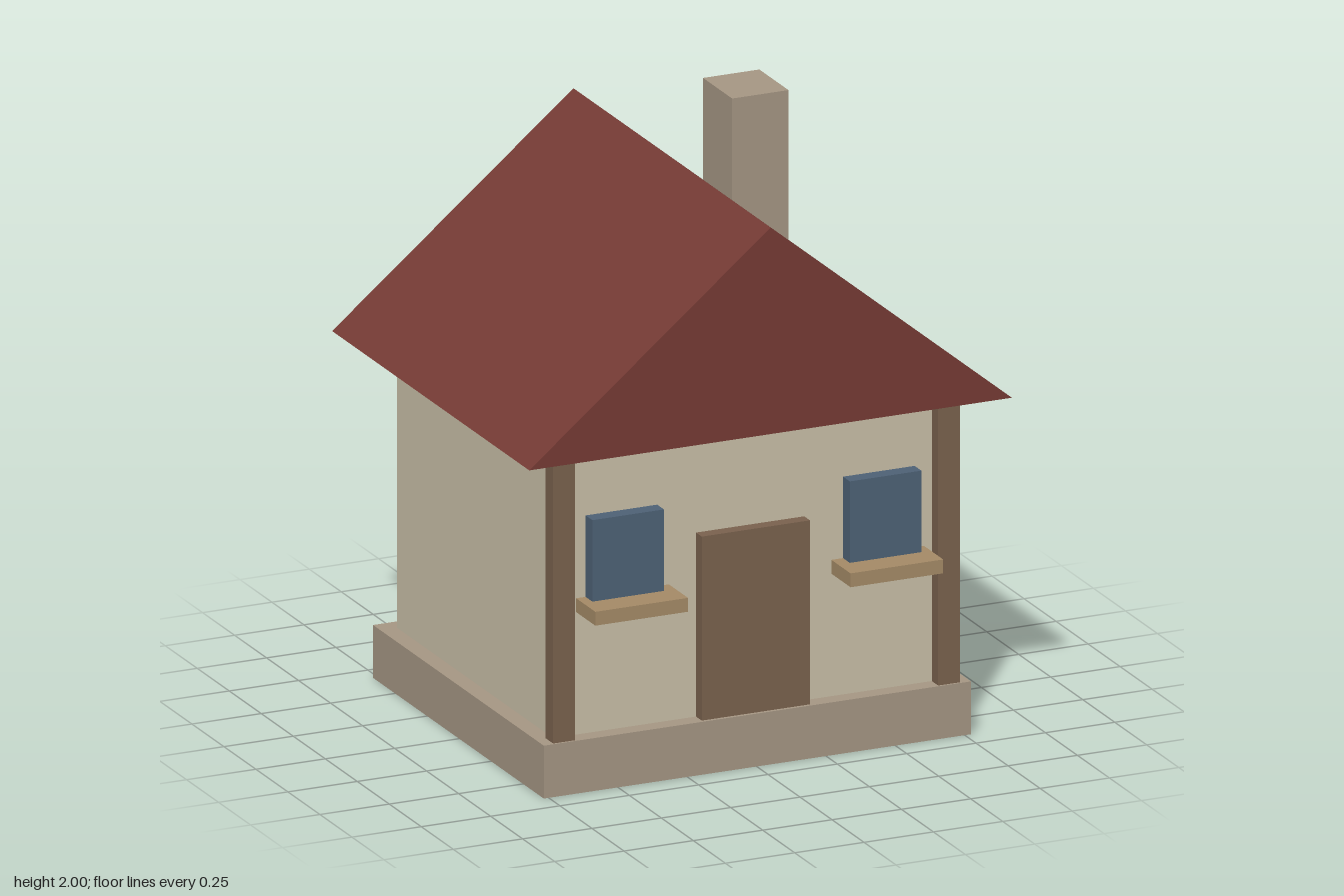
import * as THREE from 'three';

export function createModel() {
  const house = new THREE.Group();
  house.name = 'house';

  const paint = (name, color) => {
    const m = new THREE.MeshStandardMaterial({ color });
    m.name = name;
    return m;
  };
  const plaster = paint('plaster', 0xc9c0a8);
  const stone = paint('stone', 0xa69784);
  const wood = paint('darkWood', 0x7a624e);
  const sillWood = paint('lightWood', 0xa58b67);
  const glass = paint('glass', 0x4e6276);
  const tiles = paint('roofTiles', 0x763b35);

  // Box given by its limits on each axis
  const box = (name, material, [x0, x1], [y0, y1], [z0, z1]) => {
    const geometry = new THREE.BoxGeometry(x1 - x0, y1 - y0, z1 - z0);
    const mesh = new THREE.Mesh(geometry, material);
    mesh.position.set((x0 + x1) / 2, (y0 + y1) / 2, (z0 + z1) / 2);
    mesh.name = name;
    house.add(mesh);
  };

  // Plinth, a hair above the floor so the wall and post feet show beneath it
  box('base', stone, [-0.77, 0.77], [0.002, 0.185], [-0.667, 0.667]);
  box('walls', plaster, [-0.71, 0.71], [0, 1.19], [-0.61, 0.61]);
  box('door', wood, [-0.195, 0.195], [0, 0.822], [0.59, 0.655]);

  // Corner posts, windows and sills on both sides of the door
  for (const [side, s] of [['left', 1], ['right', -1]]) {
    const span = (a, b) => (s > 0 ? [a, b] : [-b, -a]);
    box(side + 'Post', wood, span(0.655, 0.733), [0, 1.19], [0.599, 0.66]);
    box(side + 'Window', glass, span(0.335, 0.593), [0.64, 0.939], [0.6, 0.663]);
    box(side + 'Sill', sillWood, span(0.293, 0.627), [0.609, 0.657], [0.6, 0.76]);
  }

  // Gabled roof: a solid triangular prism
  const gable = new THREE.Shape([
    new THREE.Vector2(-0.87, 1.185),
    new THREE.Vector2(0.87, 1.185),
    new THREE.Vector2(0, 1.9),
  ]);
  const roof = new THREE.Mesh(
    new THREE.ExtrudeGeometry(gable, { depth: 1.54, bevelEnabled: false }), tiles);
  roof.position.z = -0.77;
  roof.name = 'roof';
  house.add(roof);

  box('chimney', stone, [0.307, 0.51], [1.4, 2], [-0.423, -0.195]);

  return house;
}
